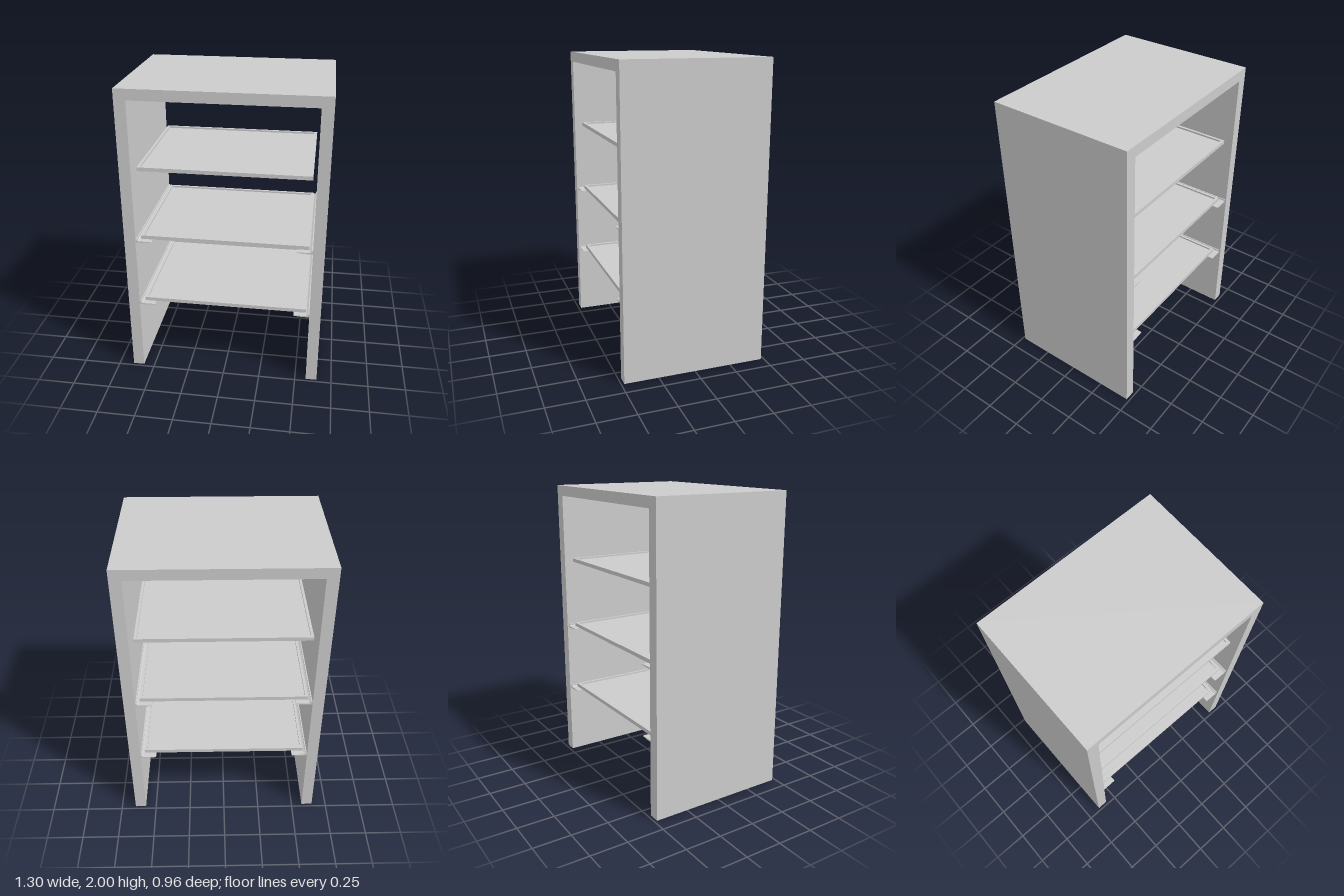
import * as THREE from 'three';

const grey = new THREE.MeshStandardMaterial({ color: 0xcccccc, flatShading: true, side: THREE.DoubleSide });

const makeShape = (points) => new THREE.Shape(points.map(([x, y]) => new THREE.Vector2(x, y)));

// Extrudes an x/y profile along z, centred on z = 0
function extrudeProfile(points, depth) {
  const geometry = new THREE.ExtrudeGeometry(makeShape(points), { depth, bevelEnabled: false });
  return geometry.translate(0, 0, -depth / 2);
}

// Removes the faces lying on the floor, leaving the hollow walls open underneath
function openBottom(geometry) {
  const source = geometry.index ? geometry.toNonIndexed() : geometry;
  const p = source.attributes.position;
  const kept = [];
  for (let i = 0; i < p.count; i += 3) {
    if (Math.max(p.getY(i), p.getY(i + 1), p.getY(i + 2)) < 1e-4) continue;
    for (let j = i; j < i + 3; j++) kept.push(p.getX(j), p.getY(j), p.getZ(j));
  }
  const result = new THREE.BufferGeometry();
  result.setAttribute('position', new THREE.Float32BufferAttribute(kept, 3));
  result.computeVertexNormals();
  return result;
}

function addMesh(parent, name, geometry) {
  const mesh = new THREE.Mesh(geometry, grey);
  mesh.name = name;
  parent.add(mesh);
  return mesh;
}

// Shallow tray: a floor with a slim raised rim
function createShelf(bottom) {
  const shelf = new THREE.Group();
  shelf.name = 'shelf';
  const w = 0.55, d = 0.43, rim = 0.018, height = 0.025, floor = 0.013;
  const outline = makeShape([[-w, -d], [w, -d], [w, d], [-w, d]]);
  const iw = w - rim, id = d - rim;
  outline.holes.push(makeShape([[-iw, -id], [-iw, id], [iw, id], [iw, -id]]));
  const rimGeometry = new THREE.ExtrudeGeometry(outline, { depth: height, bevelEnabled: false });
  addMesh(shelf, 'shelfRim', rimGeometry.rotateX(-Math.PI / 2));
  addMesh(shelf, 'shelfFloor', new THREE.BoxGeometry(iw * 2, floor, id * 2).translate(0, floor / 2, 0));
  shelf.position.y = bottom;
  return shelf;
}

// Support rail with a wall lip and a thin ledge; side is +1 or -1
function createRail(side, bottom) {
  const profile = [
    [0.575, 0], [0.52, 0], [0.47, 0.005], [0.47, 0.009],
    [0.555, 0.009], [0.567, 0.015], [0.567, 0.023], [0.575, 0.023],
  ].map(([x, y]) => [x * side, y]);
  const rail = new THREE.Mesh(extrudeProfile(profile, 0.94), grey);
  rail.name = side > 0 ? 'leftRail' : 'rightRail';
  rail.position.y = bottom;
  return rail;
}

export function createModel() {
  const model = new THREE.Group();
  model.name = 'shelfUnit';

  // Two hollow side walls joined by the top
  const arch = [
    [-0.65, 0], [-0.575, 0], [-0.575, 1.93], [0.575, 1.93],
    [0.575, 0], [0.65, 0], [0.65, 2], [-0.65, 2],
  ];
  addMesh(model, 'cabinetFrame', openBottom(extrudeProfile(arch, 0.96)));

  // Three shelves; the lower two rest on rails
  for (const y of [0.511, 0.987, 1.465]) model.add(createShelf(y));
  for (const y of [0.502, 0.978]) {
    for (const side of [-1, 1]) model.add(createRail(side, y));
  }
  return model;
}
